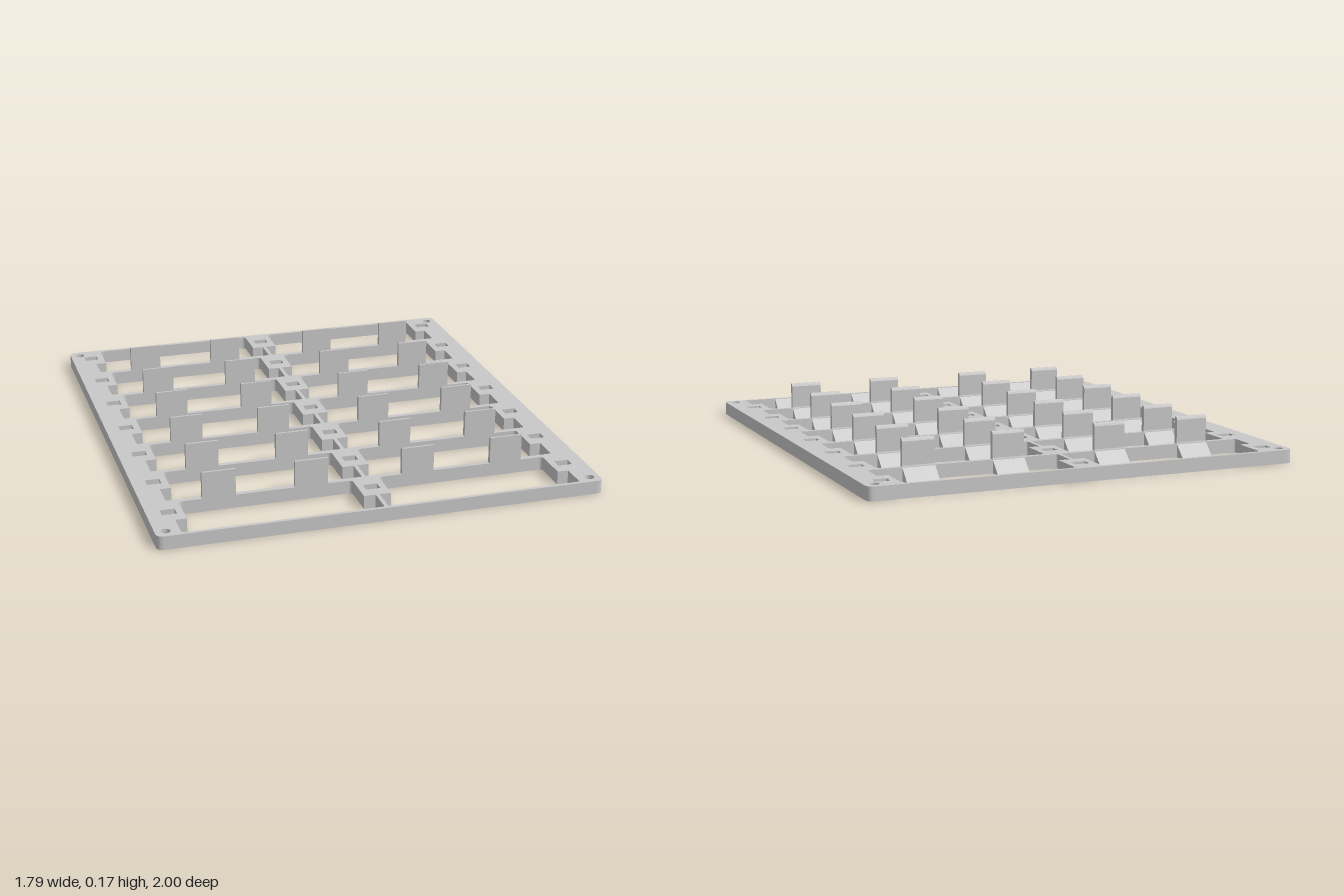
import * as THREE from 'three';

const H = 0.055;            // frame height
const PITCH = 0.2843;       // spacing of the cross bars
const REAR = -0.983;        // inner edge of the rear wall
const BAR = 0.022;          // cross bar thickness
const ROWS = 7;
const TAB_X = [-0.594, -0.222, 0.218, 0.592];
const TAB_W = 0.134;

// Closed loop of [x, z, cornerRadius] drawn in plan (shape y = -z)
function planPath(points, Type = THREE.Path) {
  const path = new Type();
  const n = points.length;
  points.forEach(([x, z, r = 0], i) => {
    const p = new THREE.Vector2(x, -z);
    const toward = ([qx, qz]) =>
      new THREE.Vector2(qx, -qz).sub(p).setLength(r).add(p);
    const a = toward(points[(i + n - 1) % n]);
    const b = toward(points[(i + 1) % n]);
    if (i === 0) path.moveTo(a.x, a.y); else path.lineTo(a.x, a.y);
    if (r) path.quadraticCurveTo(p.x, p.y, b.x, b.y);
  });
  path.closePath();
  return path;
}

// Counter-clockwise rectangle seen from above
function rect(cx, cz, w, d, r, Type) {
  return planPath([[cx - w / 2, cz + d / 2, r], [cx + w / 2, cz + d / 2, r],
    [cx + w / 2, cz - d / 2, r], [cx - w / 2, cz - d / 2, r]], Type);
}

// Side profile given as [z, y], extruded along x and centred there
function sideExtrude(points, width) {
  const shape = new THREE.Shape(points.map(([z, y]) => new THREE.Vector2(z, y)));
  const geo = new THREE.ExtrudeGeometry(shape, { depth: width, bevelEnabled: false });
  return geo.rotateY(-Math.PI / 2).translate(width / 2, 0, 0);
}

export function createModel() {
  const group = new THREE.Group();
  const grey = new THREE.MeshStandardMaterial({ color: 0xc8c8c8 });
  grey.name = 'grey';

  // Tray frame: plate with rounded corners, cells, slots and screw holes
  const plate = rect(0, 0, 1.794, 2, 0.03, THREE.Shape);
  for (let k = 0; k < ROWS; k++) {
    const back = REAR + PITCH * k;            // rear edge of this cell
    const front = back + PITCH - BAR;
    const step = back + 0.152;                // end of the wider blocks
    for (const s of [-1, 1]) {
      plate.holes.push(planPath([
        [s * 0.055, back, 0.018], [s * 0.755, back, 0.018], [s * 0.755, step],
        [s * 0.8, step], [s * 0.8, front, 0.008], [s * 0.008, front, 0.008],
        [s * 0.008, step], [s * 0.055, step],
      ]));
    }
    for (const x of [-0.811, 0, 0.811]) {
      plate.holes.push(rect(x, back + 0.077, 0.058, 0.044, 0));
    }
  }
  for (const x of [-0.855, 0.855]) {
    for (const z of [-0.957, 0.957]) {
      const hole = new THREE.Path();
      hole.absarc(x, -z, 0.019, 0, Math.PI * 2, true);
      plate.holes.push(hole);
    }
  }
  const frameGeo = new THREE.ExtrudeGeometry(plate, { depth: H, bevelEnabled: false, curveSegments: 8 });
  frameGeo.rotateX(-Math.PI / 2);
  const frame = new THREE.Mesh(frameGeo, grey);
  frame.name = 'frame';
  group.add(frame);

  // Upright tabs flush with the bar fronts, and sloped ramps behind the bars
  const tabGeo = sideExtrude([[-0.02, H - 0.002], [0, H - 0.002], [0, 0.165],
    [-0.009, 0.165], [-0.015, 0.161], [-0.018, 0.153], [-0.018, H + 0.005]], TAB_W);
  const rampGeo = sideExtrude([[-0.075, 0], [-BAR, 0], [-BAR, H - 0.002]], TAB_W);
  for (let k = 1; k <= ROWS; k++) {
    const z = REAR + PITCH * k;
    for (const x of TAB_X) {
      const ramp = new THREE.Mesh(rampGeo, grey);
      ramp.name = 'ramp';
      ramp.position.set(x, 0, z);
      group.add(ramp);
      if (k === ROWS) continue;               // the front wall has no tabs
      const tab = new THREE.Mesh(tabGeo, grey);
      tab.name = 'tab';
      tab.position.set(x, 0, z);
      group.add(tab);
    }
  }
  return group;
}
